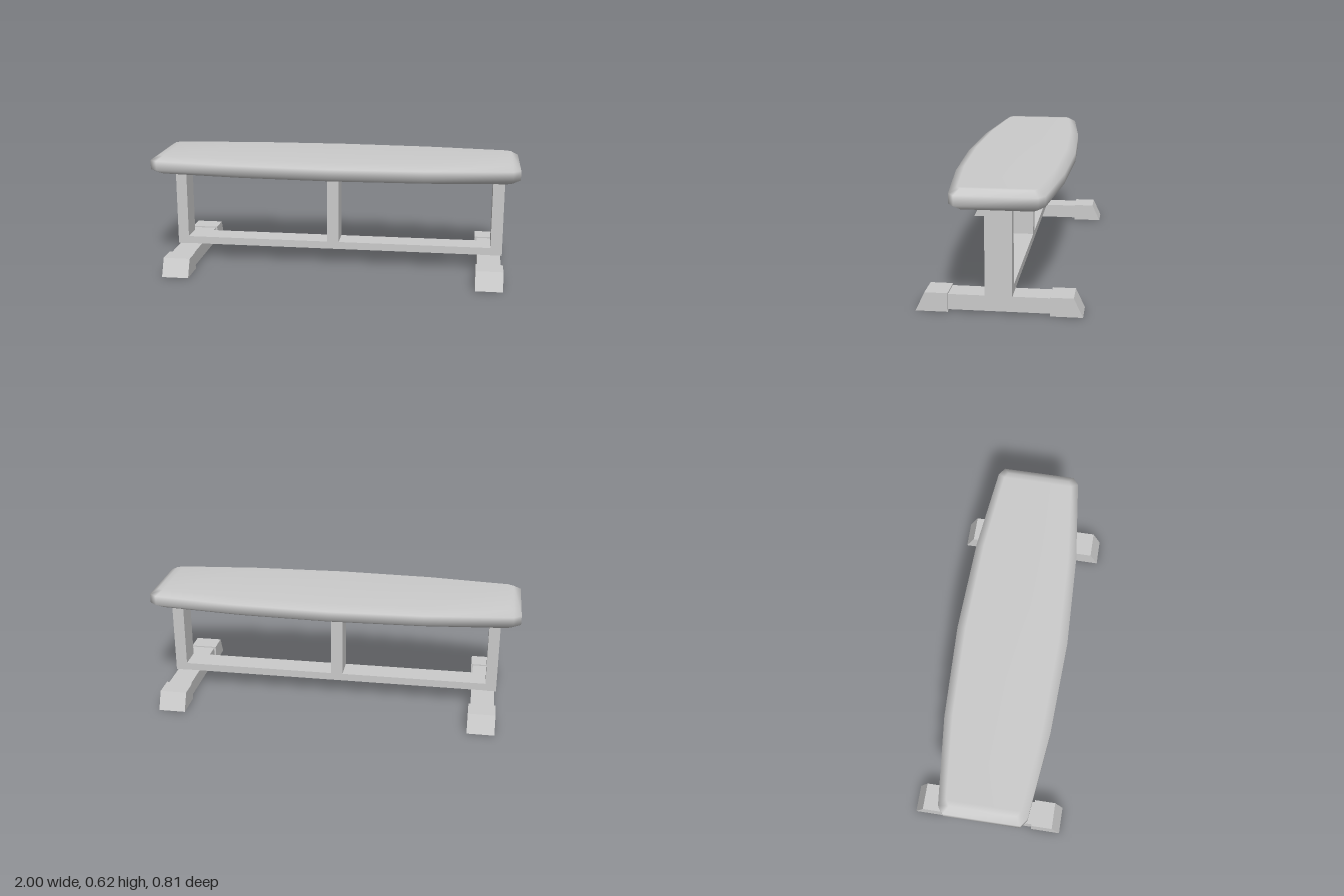
import * as THREE from 'three';

const grey = new THREE.MeshStandardMaterial({ color: 0xcccccc });

// Box given by its extents on each axis
function box(name, [x0, x1], [y0, y1], [z0, z1]) {
  const mesh = new THREE.Mesh(new THREE.BoxGeometry(x1 - x0, y1 - y0, z1 - z0), grey);
  mesh.position.set((x0 + x1) / 2, (y0 + y1) / 2, (z0 + z1) / 2);
  mesh.name = name;
  return mesh;
}

// Full outline from a quarter outline of [x, z]: front edge left to right, then back edge
function outline(quarter) {
  const front = [
    ...quarter.slice(1).reverse().map(([x, z]) => [-x, z]),
    ...quarter,
  ];
  return [...front, ...front.slice().reverse().map(([x, z]) => [x, -z])];
}

// Cushion: four stacked outlines, bevelled towards top and bottom
function padGeometry() {
  const outer = outline([[0, 0.297], [0.5, 0.278], [0.96, 0.227], [1, 0.197]]);
  const inner = outline([[0, 0.25], [0.49, 0.234], [0.93, 0.19], [0.96, 0.172]]);
  const rings = [[inner, 0.525], [outer, 0.55], [outer, 0.6], [inner, 0.625]];
  const n = outer.length;
  const positions = [];
  const index = [];
  const quad = (a, b, c, d) => index.push(a, b, c, a, c, d);

  for (const [ring, y] of rings) for (const [x, z] of ring) positions.push(x, y, z);
  for (let r = 0; r < rings.length - 1; r++) {
    for (let i = 0; i < n; i++) {
      const j = (i + 1) % n;
      quad(r * n + i, r * n + j, (r + 1) * n + j, (r + 1) * n + i);
    }
  }
  // Top and bottom, spanned from front edge to back edge
  const top = (rings.length - 1) * n;
  for (let i = 0; i < n / 2 - 1; i++) {
    const k = n - 1 - i;
    quad(top + i, top + i + 1, top + k - 1, top + k);
    quad(k, k - 1, i + 1, i);
  }
  const geometry = new THREE.BufferGeometry();
  geometry.setAttribute('position', new THREE.Float32BufferAttribute(positions, 3));
  geometry.setIndex(index);
  geometry.computeVertexNormals();
  return geometry;
}

// Foot cap: side profile with a sloping outer end, extruded across the foot
function footCap(x0, x1, side) {
  const profile = [[0.247, 0], [0.405, 0], [0.36, 0.095], [0.247, 0.095]];
  const shape = new THREE.Shape(profile.map(([z, y]) => new THREE.Vector2(z, y)));
  const geometry = new THREE.ExtrudeGeometry(shape, { depth: x1 - x0, bevelEnabled: false });
  geometry.translate(0, 0, -(x1 - x0) / 2);
  const mesh = new THREE.Mesh(geometry, grey);
  mesh.rotation.y = -side * Math.PI / 2;
  mesh.position.x = (x0 + x1) / 2;
  mesh.name = side > 0 ? 'frontFootCap' : 'backFootCap';
  return mesh;
}

export function createModel() {
  const model = new THREE.Group();
  model.name = 'bench';

  const pad = new THREE.Mesh(padGeometry(), grey);
  pad.name = 'seatPad';
  model.add(pad);

  // Uprights and the rail joining them
  const depth = [-0.066, 0.066];
  model.add(
    box('rightPost', [-0.9, -0.84], [0.088, 0.526], depth),
    box('middlePost', [-0.043, 0.021], [0.13, 0.526], depth),
    box('leftPost', [0.862, 0.925], [0.088, 0.526], depth),
    box('rail', [-0.84, 0.862], [0.089, 0.13], depth),
  );

  // Cross feet with a cap on each end
  for (const [name, x0, x1] of [['rightFoot', -0.9, -0.755], ['leftFoot', 0.78, 0.925]]) {
    const foot = new THREE.Group();
    foot.name = name;
    foot.add(
      box('footBar', [x0 + 0.01, x1 - 0.01], [0.01, 0.088], [-0.25, 0.25]),
      footCap(x0, x1, 1),
      footCap(x0, x1, -1),
    );
    model.add(foot);
  }
  return model;
}
